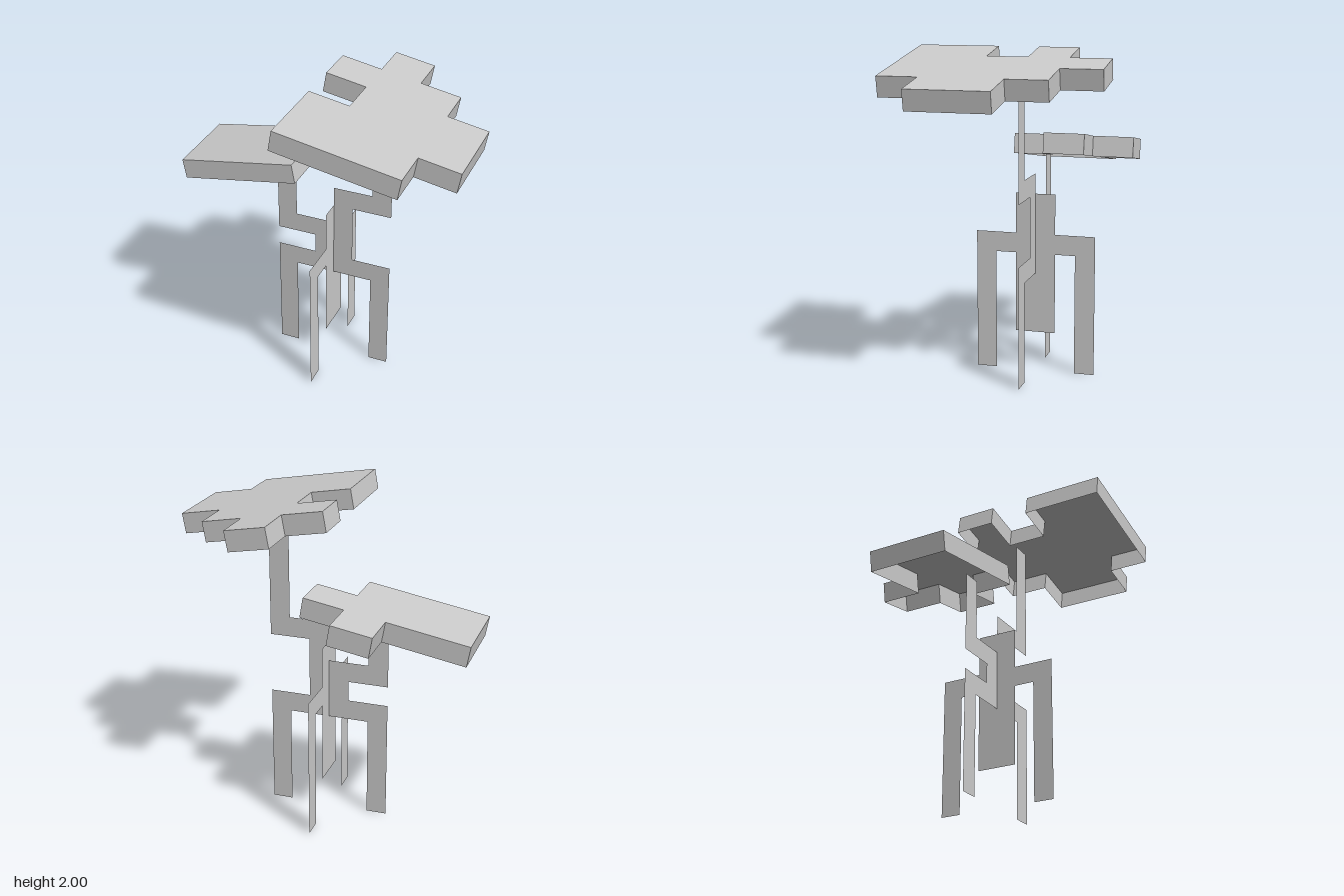
import * as THREE from 'three';
import { mergeGeometries } from 'three/addons/utils/BufferGeometryUtils.js';

const U = 0.1243;      // small grid unit of the stems
const CELL = 2 * U;    // cell of the cap outlines
const TILT = Math.PI / 18;

const shapeOf = (points, sx, sy) =>
  new THREE.Shape(points.map(([x, y]) => new THREE.Vector2(x * sx, y * sy)));

// Open-bottomed cap: a flat top with a skirt along every outline edge
function capGeometry(outline) {
  const parts = [new THREE.ShapeGeometry(shapeOf(outline, CELL, -CELL)).rotateX(-Math.PI / 2)];
  outline.forEach(([x0, z0], i) => {
    const [x1, z1] = outline[(i + 1) % outline.length];
    const dx = x1 - x0, dz = z1 - z0;
    const wall = new THREE.PlaneGeometry(Math.hypot(dx, dz) * CELL, U);
    // the outline runs clockwise from above, so turn each wall outward
    wall.rotateY(Math.atan2(dz, -dx));
    wall.translate((x0 + x1) / 2 * CELL, -U / 2, (z0 + z1) / 2 * CELL);
    parts.push(wall);
  });
  return mergeGeometries(parts);
}

export function createModel() {
  const group = new THREE.Group();
  const grey = new THREE.MeshStandardMaterial({ color: 0xcccccc, side: THREE.DoubleSide });
  grey.name = 'light grey';

  const add = (name, geometry, x, y, z, tilt = 0) => {
    const mesh = new THREE.Mesh(geometry, grey);
    mesh.name = name;
    mesh.position.set(x, y, z);
    mesh.rotation.z = tilt;
    group.add(mesh);
  };

  // Branching stem sheet facing the front
  const branches = [
    [-3, 0], [-2, 0], [-2, 5], [2, 5], [2, 0], [3, 0], [3, 6], [1, 6], [1, 9], [3, 9], [3, 15],
    [2, 15], [2, 10], [0, 10], [0, 8], [-2, 8], [-2, 11], [-3, 11], [-3, 7], [-1, 7], [-1, 6], [-3, 6],
  ];
  add('branchingStem', new THREE.ShapeGeometry(shapeOf(branches, U, U)), 0, 0, -0.09);

  // Crossing root sheet facing the sides
  const roots = [
    [-3, 0], [-2, 0], [-2, 6], [-1, 6], [-1, 2], [1, 2], [1, 6], [2, 6],
    [2, 0], [3, 0], [3, 7], [1, 7], [1, 9], [-1, 9], [-1, 7], [-3, 7],
  ];
  add('crossingRoots', new THREE.ShapeGeometry(shapeOf(roots, U, U)).rotateY(Math.PI / 2), 0, 0, -0.09);

  // Tilted caps, outlines given as [x, z] cells
  const large = [
    [1, 0], [2, 0], [2, 1], [3, 1], [3, 2], [4, 2], [4, 4], [3, 4],
    [3, 5], [0, 5], [0, 3], [1, 3], [1, 2], [0, 2], [0, 1], [1, 1],
  ];
  add('largeCap', capGeometry(large), -0.052, 2.0, -0.593, -TILT);

  const small = [
    [2, 0], [3, 0], [3, 1], [4, 1], [4, 2], [3, 2], [3, 3], [0, 3], [0, 1], [2, 1],
  ];
  add('smallCap', capGeometry(small), -0.93, 1.328, -0.65, TILT);

  return group;
}
